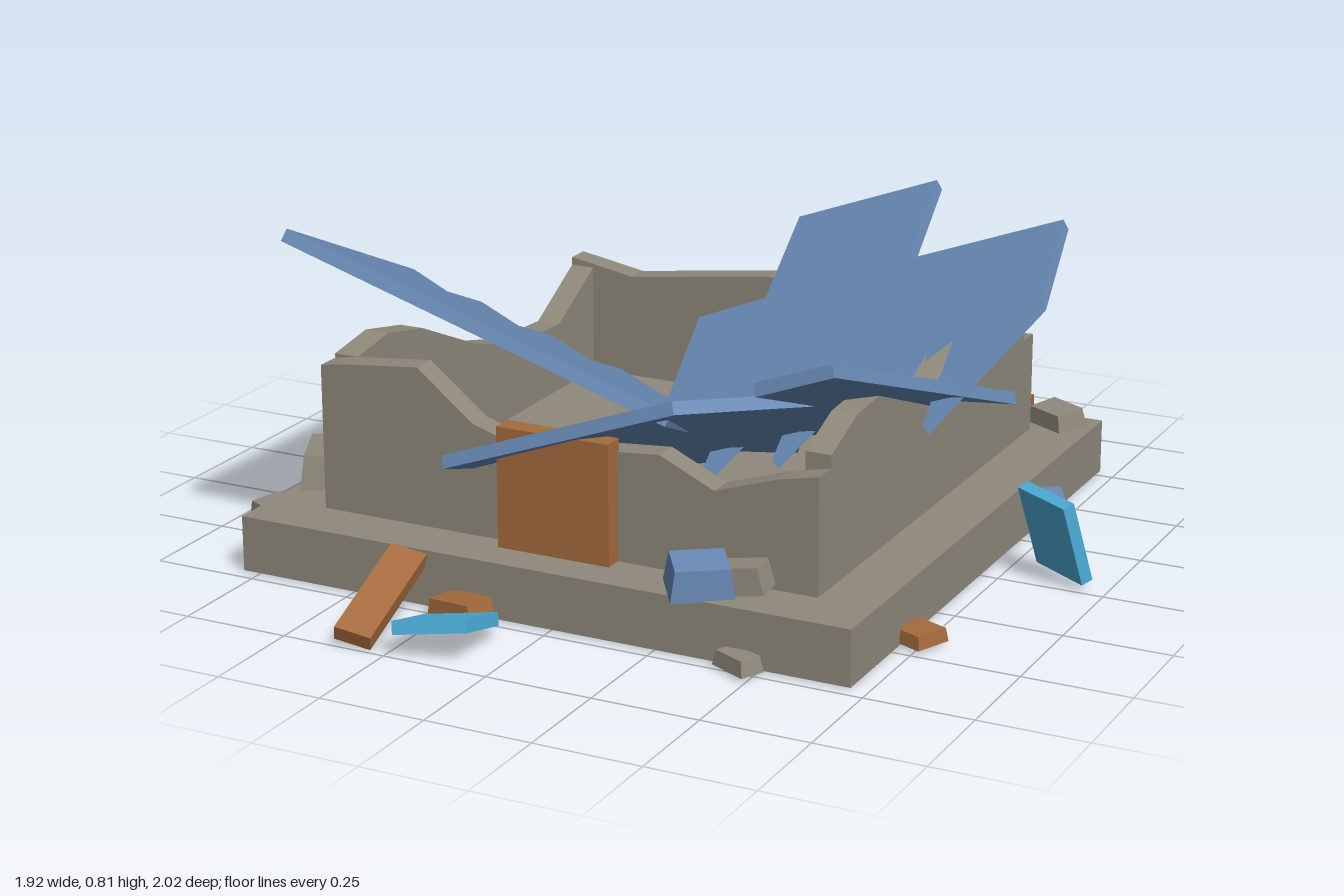
import * as THREE from 'three';

const mat = (name, color, side = THREE.FrontSide) => {
  const m = new THREE.MeshStandardMaterial({ color, side });
  m.name = name;
  return m;
};

export function createModel() {
  const group = new THREE.Group();
  const stone = mat('stone', 0x8f897b);
  const shellStone = mat('stone', 0x8f897b, THREE.DoubleSide);
  stone.name = 'stone';
  const wood = mat('wood', 0xa56b3d);
  const slate = mat('slateBlue', 0x688ab5);
  const glass = mat('brightBlue', 0x4cadd9);

  const add = (name, geometry, material) => {
    const mesh = new THREE.Mesh(geometry, material);
    mesh.name = name;
    group.add(mesh);
    return mesh;
  };
  const shape = (pts) => new THREE.Shape(pts.map(([x, y]) => new THREE.Vector2(x, y)));

  // Foundation: a box open underneath (the bottom face is dropped)
  const base = new THREE.BoxGeometry(1.5, 0.13, 1.495);
  const idx = Array.from(base.index.array);
  base.setIndex([...idx.slice(0, 18), ...idx.slice(24)]);
  base.clearGroups();
  add('foundation', base, shellStone).position.set(-0.04, 0.065, -0.0275);

  // Broken walls: extruded from a ragged top line
  const T = 0.06, FLOOR = 0.13;
  const wall = (name, top, alongZ, offset) => {
    const first = top[0][0], last = top[top.length - 1][0];
    const g = new THREE.ExtrudeGeometry(shape([[first, FLOOR], [last, FLOOR], ...[...top].reverse()]),
      { depth: T, bevelEnabled: false });
    if (alongZ) g.rotateY(-Math.PI / 2).translate(offset + T, 0, 0);
    else g.translate(0, 0, offset);
    add(name, g, stone);
  };
  wall('frontWall', [[-0.65, 0.47], [-0.59, 0.48], [-0.4, 0.5], [-0.26, 0.39], [-0.16, 0.36], [0.08, 0.38],
    [0.2, 0.39], [0.33, 0.33], [0.48, 0.38], [0.575, 0.4]], false, 0.53);
  wall('backWall', [[-0.65, 0.42], [-0.48, 0.39], [-0.1, 0.44], [0.1, 0.43], [0.35, 0.36], [0.575, 0.37]], false, -0.64);
  wall('leftOuterWall', [[-0.58, 0.4], [-0.4, 0.3], [-0.2, 0.31], [0, 0.36], [0.25, 0.47], [0.4, 0.5], [0.53, 0.48]],
    true, -0.65);
  wall('rightOuterWall', [[-0.58, 0.4], [-0.45, 0.475], [-0.2, 0.49], [0, 0.41], [0.1, 0.43], [0.25, 0.49],
    [0.4, 0.48], [0.53, 0.43]], true, 0.515);

  // Door
  add('door', new THREE.BoxGeometry(0.275, 0.28, 0.05), wood).position.set(-0.04, 0.27, 0.607);

  // Collapsed roof slabs: a plan outline laid on the plane y = h + sx * x + sz * z
  const slab = (name, outline, h, sx, sz) => {
    const g = new THREE.ExtrudeGeometry(shape(outline), { depth: 0.03, bevelEnabled: false });
    g.rotateX(Math.PI / 2);
    const n = new THREE.Vector3(-sx, 1, -sz).normalize();
    const p = g.attributes.position;
    for (let i = 0; i < p.count; i++) {
      const x = p.getX(i), t = p.getY(i), z = p.getZ(i);
      p.setXYZ(i, x + n.x * t, h + sx * x + sz * z + n.y * t, z + n.z * t);
    }
    g.computeVertexNormals();
    add(name, g, slate);
  };
  const teeth = (count, tip, valley, step) => {
    const pts = [];
    for (let i = 0; i < count; i++) {
      pts.push([tip[0] + step[0] * i, tip[1] + step[1] * i], [valley[0] + step[0] * i, valley[1] + step[1] * i]);
    }
    return pts;
  };
  slab('leftRoofSlab', [[0.23, 0.595], [-0.66, 0.69],
    ...teeth(5, [-0.88, -0.19], [-0.63, 0.07], [0.18, -0.02])], 0.277, -0.31, 0.475);
  slab('rightRoofSlab', [[-0.3, 0.66], [0.25, 0.63], [0.44, 0.33], [0.43, 0.61], [0.61, 0.61],
    ...teeth(5, [0.67, -0.28], [0.62, -0.03], [-0.18, 0.01])], 0.196, 0.38, 0.38);
  slab('backRoofSlab', [[-0.05, -0.46], [-0.1, -0.76], [0.26, -0.78], [0.31, -0.49], [0.69, -0.51], [0.745, -0.23],
    ...teeth(4, [0.61, 0.12], [0.56, -0.19], [-0.178, 0.01]), [-0.1, 0.13], [-0.22, -0.44]], 0.226, 0.34, -0.47);

  // Rubble: boxes narrowed toward the top; [x, y, z, width, height, depth, rotX, rotY, rotZ]
  const rubble = (name, material, taper, list) => list.forEach(([x, y, z, w, h, d, rx, ry, rz]) => {
    const g = new THREE.BoxGeometry(w, h, d);
    const p = g.attributes.position;
    for (let i = 0; i < p.count; i++) {
      if (p.getY(i) > 0) p.setXYZ(i, p.getX(i) * taper, p.getY(i), p.getZ(i) * taper);
    }
    g.computeVertexNormals();
    const mesh = add(name, g, material);
    mesh.position.set(x, y, z);
    mesh.rotation.set(rx, ry, rz, 'YXZ');
  });
  rubble('stoneChunk', stone, 0.85, [
    [-0.74, 0.172, 0.41, 0.14, 0.08, 0.18, 0, 0.45, 0],
    [-0.89, 0.03, 0.43, 0.11, 0.05, 0.09, 0.1, -0.45, 0],
    [-0.55, 0.16, -0.69, 0.12, 0.06, 0.09, 0.1, -0.5, 0],
    [-0.34, 0.175, -0.7, 0.15, 0.09, 0.11, 0, 0.08, 0.05],
    [0.62, 0.15, -0.7, 0.12, 0.05, 0.09, 0.1, -0.5, 0],
    [-0.17, 0.03, -0.88, 0.05, 0.06, 0.1, 0, 0.4, 0],
    [0.12, 0.03, -0.83, 0.09, 0.06, 0.07, 0, -0.4, 0],
    [0.19, 0.035, -0.96, 0.07, 0.06, 0.09, 0.1, 0.1, 0],
    [0.46, 0.022, 0.74, 0.1, 0.035, 0.06, 0, -0.45, 0],
    [0.42, 0.165, 0.63, 0.11, 0.06, 0.08, 0, 0.1, 0.15],
  ]);
  rubble('roofChunk', slate, 0.85, [
    [-0.3, 0.035, -0.83, 0.15, 0.06, 0.06, 0, 0.75, 0],
    [-0.05, 0.06, -0.88, 0.2, 0.1, 0.14, 0.2, 0.45, 0],
    [0.02, 0.03, -0.83, 0.05, 0.06, 0.06, 0, 0.1, 0],
    [0.33, 0.04, -0.92, 0.13, 0.07, 0.08, 0, -0.5, 0],
    [0.47, 0.04, -0.84, 0.08, 0.07, 0.08, 0, -0.7, 0],
    [0.74, 0.045, -0.34, 0.08, 0.08, 0.11, 0.1, 0.5, 0],
    [0.335, 0.168, 0.67, 0.14, 0.07, 0.12, 0.1, 0.6, 0],
  ]);
  rubble('woodChunk', wood, 0.9, [
    [-0.5, 0.045, -0.89, 0.09, 0.07, 0.17, 0.1, -0.4, 0],
    [-0.2, 0.03, 0.76, 0.13, 0.045, 0.08, 0, -0.25, 0.1],
    [-0.88, 0.025, -0.27, 0.11, 0.035, 0.08, 0, -0.5, 0.1],
    [0.74, 0.02, 0.43, 0.09, 0.03, 0.09, 0, -0.4, 0],
  ]);
  rubble('plank', wood, 1, [
    [-0.34, 0.068, 0.86, 0.085, 0.035, 0.29, 0.33, 0.08, -0.2],
    [0.4, 0.145, -0.75, 0.25, 0.03, 0.09, 0, 0.1, 0],
    [0.4, 0.09, -0.87, 0.21, 0.07, 0.08, 0, -0.9, -0.2],
  ]);
  rubble('glazedPanel', glass, 1, [
    [-0.155, 0.052, 0.9, 0.17, 0.03, 0.18, -0.28, 0.12, 0.15],
    [0.868, 0.112, -0.04, 0.17, 0.2, 0.03, 0.3, -0.57, 0],
  ]);

  return group;
}
